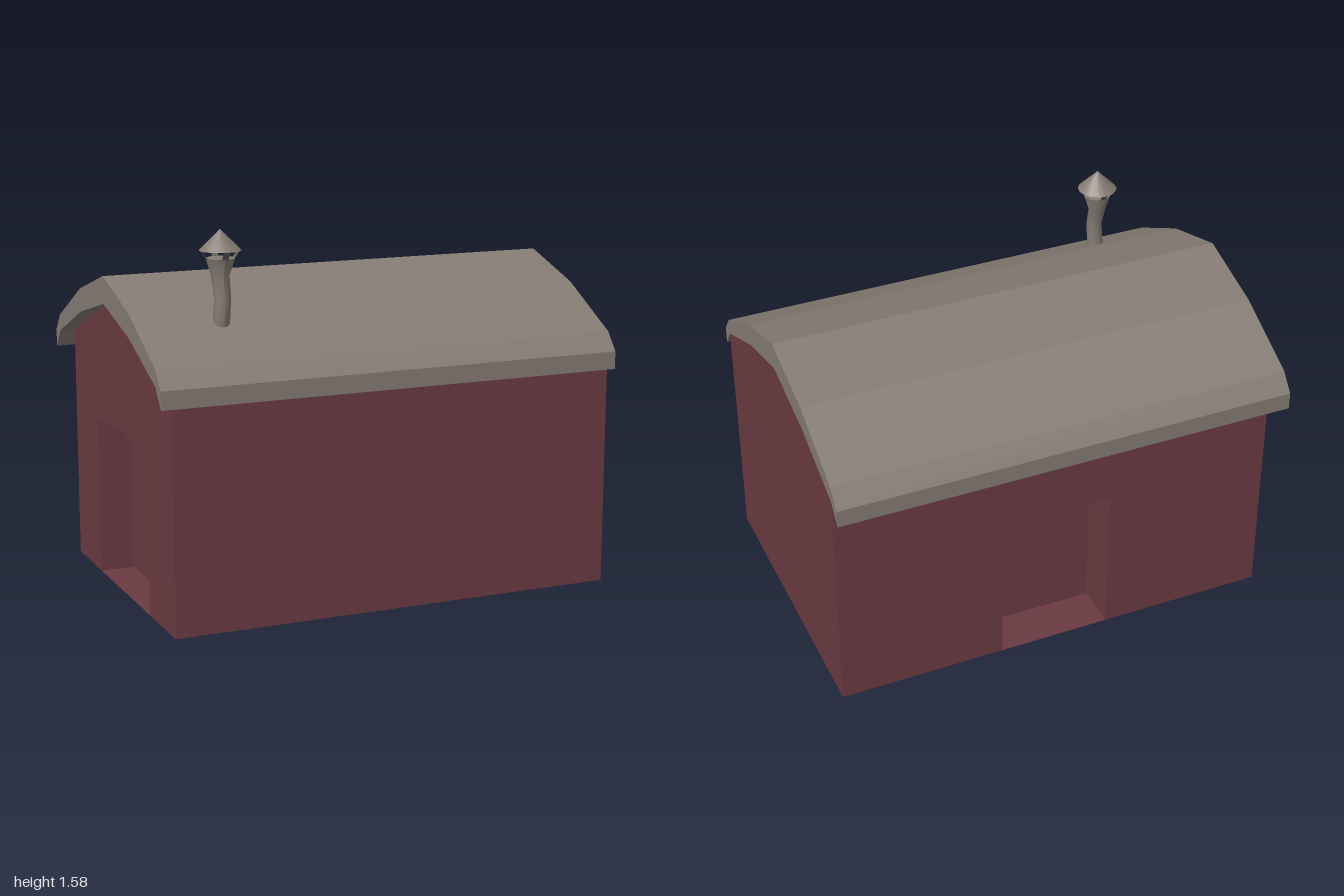
import * as THREE from 'three';

const wallPaint = new THREE.MeshStandardMaterial({ name: 'barnRed', color: 0x6b3a42 });
const roofGrey = new THREE.MeshStandardMaterial({ name: 'warmGrey', color: 0x857b74 });
const strutGrey = new THREE.MeshStandardMaterial({ name: 'strutGrey', color: 0x665f59, side: THREE.DoubleSide });

const X0 = -0.935, X1 = 1, HALF = 0.652, EAVE = 1.02;
const shapeOf = pts => new THREE.Shape(pts.map(p => new THREE.Vector2(p[0], p[1])));

function add(parent, name, geometry, material) {
  const mesh = new THREE.Mesh(geometry, material);
  mesh.name = name;
  parent.add(mesh);
  return mesh;
}

// Flat wall facing +z; a door outline starting on the ground is notched out and recessed
function wall(name, right, left, top, door, depth) {
  const g = new THREE.Group();
  g.name = name;
  const notch = door ? [door[0], ...door.slice(1).reverse()] : [];
  add(g, name + 'Face', new THREE.ShapeGeometry(shapeOf([[left, 0], ...notch, [right, 0], ...top])), wallPaint);
  if (door) {
    const pos = [];
    door.forEach((a, i) => {
      const b = door[(i + 1) % door.length];
      pos.push(...a, 0, ...b, 0, ...b, -depth, ...a, 0, ...b, -depth, ...a, -depth);
    });
    const reveal = new THREE.BufferGeometry();
    reveal.setAttribute('position', new THREE.Float32BufferAttribute(pos, 3));
    reveal.computeVertexNormals();
    add(g, name + 'DoorReveal', reveal, wallPaint);
    add(g, name + 'Door', new THREE.ShapeGeometry(shapeOf(door)), wallPaint).position.z = -depth;
  }
  return g;
}

function createBody() {
  const body = new THREE.Group();
  body.name = 'body';
  const gable = [[HALF, EAVE], [0.33, 1.155], [0, 1.24], [-0.33, 1.155], [-HALF, EAVE]];

  const front = wall('frontWall', X1, X0, [[X1, EAVE], [X0, EAVE]]);
  front.position.z = HALF;

  const back = wall('backWall', -X0, -X1, [[-X0, EAVE], [-X1, EAVE]],
    [[-0.278, 0], [0.208, 0], [0.208, 0.665], [-0.278, 0.665]], 0.195);
  back.rotation.y = Math.PI;
  back.position.z = -HALF;

  const leftEnd = wall('leftEndWall', HALF, -HALF, gable);
  leftEnd.rotation.y = Math.PI / 2;
  leftEnd.position.x = X1;

  // End wall with a slightly peaked doorway
  const rightEnd = wall('rightEndWall', HALF, -HALF, gable,
    [[-0.332, 0], [0.332, 0], [0.332, 0.676], [0, 0.7], [-0.332, 0.676]], 0.145);
  rightEnd.rotation.y = -Math.PI / 2;
  rightEnd.position.x = X0;

  body.add(front, back, leftEnd, rightEnd);
  const base = add(body, 'base', new THREE.PlaneGeometry(X1 - X0, HALF * 2), wallPaint);
  base.rotation.x = Math.PI / 2;
  base.position.x = (X0 + X1) / 2;
  return body;
}

function createRoof(parent) {
  // Half profile from ridge to eave, mirrored about the ridge
  const mirrored = half => [...half, ...half.slice(1).map(([x, y]) => [-x, y]).reverse()];
  const outer = [[0.715, 1.015], [0.653, 1.09], [0.33, 1.255]];
  const inner = [[0.33, 1.155], [0.653, 1.02], [0.715, 0.94]];
  const flip = pts => pts.map(([x, y]) => [-x, y]).reverse();
  const profile = [...outer, [0, 1.355], ...flip(outer), ...flip(inner), [0, 1.24], ...inner];
  const geo = new THREE.ExtrudeGeometry(shapeOf(profile), { depth: 2, bevelEnabled: false });
  geo.rotateY(Math.PI / 2).translate(-1, 0, 0);
  add(parent, 'roof', geo, roofGrey);
}

function createChimney() {
  const chimney = new THREE.Group();
  chimney.name = 'chimney';
  chimney.position.set(-0.642, 0, 0.415);

  // Crooked pipe: rings of [height, z shift, radius]
  const rings = [[1.15, -0.001, 0.034], [1.2, 0.004, 0.034], [1.31, 0.021, 0.034],
    [1.395, -0.004, 0.037], [1.465, 0, 0.059]];
  const last = rings.length - 1;
  const pipe = new THREE.CylinderGeometry(1, 1, last, 16, last);
  const p = pipe.attributes.position;
  for (let i = 0; i < p.count; i++) {
    const [y, dz, r] = rings[Math.round(p.getY(i) + last / 2)];
    p.setXYZ(i, p.getX(i) * r, y, p.getZ(i) * r + dz);
  }
  pipe.computeVertexNormals();
  add(chimney, 'pipe', pipe, roofGrey);

  // Four thin struts holding the rain cap
  for (let i = 0; i < 4; i++) {
    const strut = new THREE.PlaneGeometry(0.028, 0.032);
    const q = strut.attributes.position;
    for (let k = 0; k < 4; k++) q.setZ(k, q.getY(k) > 0 ? 0.081 : 0.057);
    strut.computeVertexNormals();
    const mesh = add(chimney, 'capStrut', strut, strutGrey);
    mesh.position.y = 1.48;
    mesh.rotation.y = i * Math.PI / 2;
  }
  add(chimney, 'rainCap', new THREE.ConeGeometry(0.085, 0.085, 16), roofGrey).position.y = 1.538;
  return chimney;
}

export function createModel() {
  const model = new THREE.Group();
  model.name = 'barn';
  model.add(createBody());
  createRoof(model);
  model.add(createChimney());
  return model;
}
